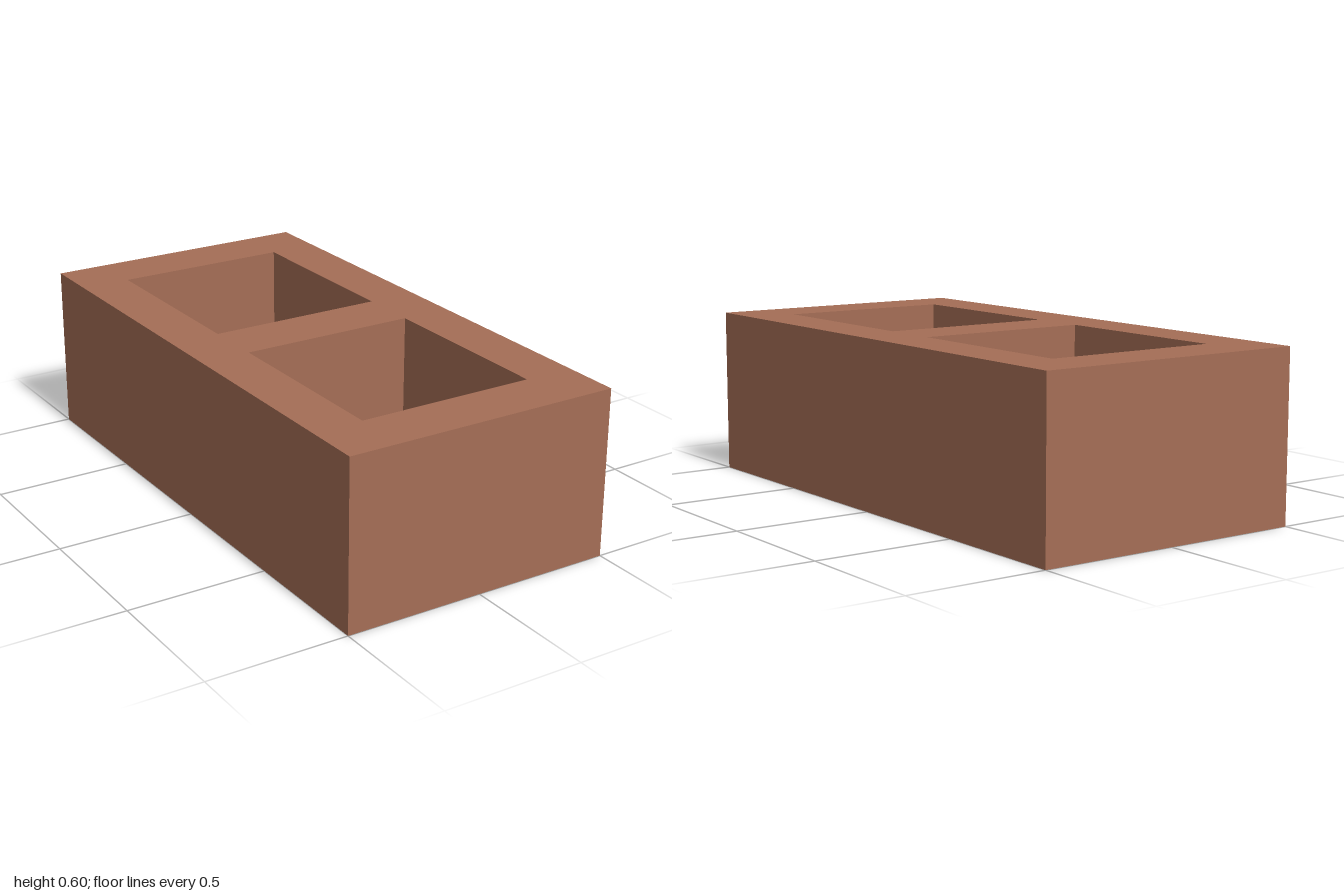
import * as THREE from 'three';

const WIDTH = 1, HEIGHT = 0.6, LENGTH = 2;
const HOLE_X = 0.32, HOLE_NEAR = 0.106, HOLE_FAR = 0.796;

// Traces a rectangle on a shape or path
function rectangle(path, x0, y0, x1, y1) {
  path.moveTo(x0, y0);
  path.lineTo(x1, y0);
  path.lineTo(x1, y1);
  path.lineTo(x0, y1);
  path.closePath();
  return path;
}

export function createModel() {
  const model = new THREE.Group();
  model.name = 'hollowBlock';

  const clay = new THREE.MeshStandardMaterial({ color: 0xa56e56 });
  clay.name = 'clay';

  // Block plan with two rectangular cores running right through
  const plan = rectangle(new THREE.Shape(), -WIDTH / 2, -LENGTH / 2, WIDTH / 2, LENGTH / 2);
  for (const [from, to] of [[-HOLE_FAR, -HOLE_NEAR], [HOLE_NEAR, HOLE_FAR]]) {
    plan.holes.push(rectangle(new THREE.Path(), -HOLE_X, from, HOLE_X, to));
  }

  // Raise the plan to full height, standing on the ground
  const geometry = new THREE.ExtrudeGeometry(plan, { depth: HEIGHT, bevelEnabled: false });
  geometry.rotateX(-Math.PI / 2);

  const block = new THREE.Mesh(geometry, clay);
  block.name = 'block';
  model.add(block);
  return model;
}
